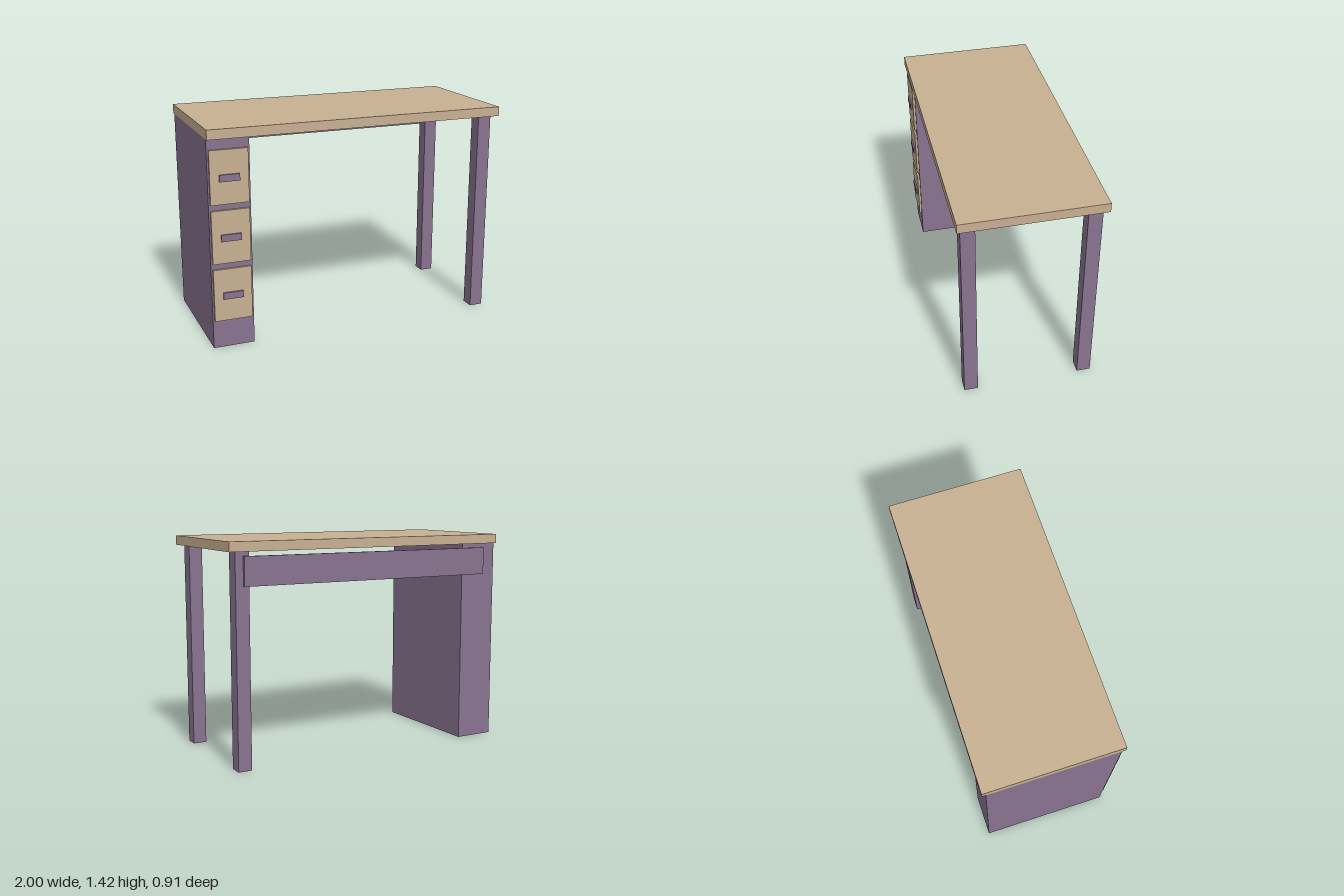
import * as THREE from 'three';

export function createModel() {
  const desk = new THREE.Group();
  desk.name = 'desk';

  const wood = new THREE.MeshStandardMaterial({ color: 0xc8b092 });
  wood.name = 'tan wood';
  const paint = new THREE.MeshStandardMaterial({ color: 0x87738f });
  paint.name = 'purple paint';

  // Box given by its extents along each axis
  function addBox(name, material, [x0, x1], [y0, y1], [z0, z1]) {
    const mesh = new THREE.Mesh(new THREE.BoxGeometry(x1 - x0, y1 - y0, z1 - z0), material);
    mesh.position.set((x0 + x1) / 2, (y0 + y1) / 2, (z0 + z1) / 2);
    mesh.name = name;
    desk.add(mesh);
  }

  const under = 1.358; // underside of the top

  addBox('tabletop', wood, [-1, 1], [under, 1.42], [-0.453, 0.453]);
  addBox('cabinet', paint, [-0.999, -0.73], [0, under], [-0.427, 0.427]);

  // Legs on the open side
  addBox('frontLeg', paint, [0.862, 0.952], [0, under], [0.337, 0.427]);
  addBox('backLeg', paint, [0.862, 0.952], [0, under], [-0.427, -0.337]);

  // Rail across the back of the cabinet and leg
  addBox('backRail', paint, [-0.9, 0.9], [1.147, 1.33], [-0.445, -0.427]);

  // Three drawers with bar handles
  for (let i = 0; i < 3; i++) {
    const y = 0.185 + i * 0.3815;
    addBox(`drawerFront${i + 1}`, wood, [-0.988, -0.742], [y, y + 0.343], [0.427, 0.442]);
    addBox(`drawerHandle${i + 1}`, paint, [-0.93, -0.8], [y + 0.145, y + 0.189], [0.442, 0.453]);
  }

  return desk;
}
